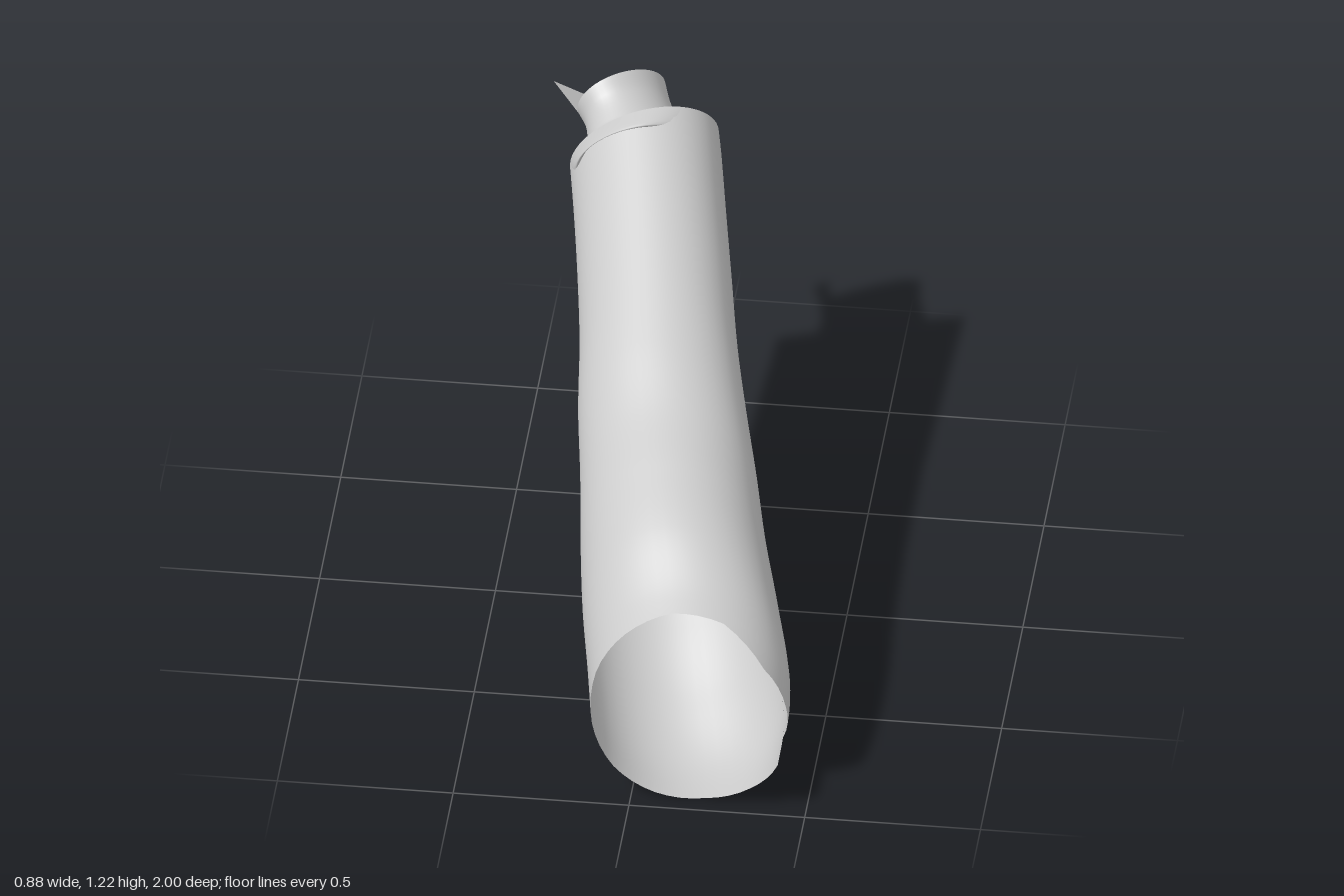
import * as THREE from 'three';
import { ParametricGeometry } from 'three/addons/geometries/ParametricGeometry.js';

const V = (x, y, z) => new THREE.Vector3(x, y, z);

// smooth lookup in an evenly spaced table
function table(values) {
  const curve = new THREE.SplineCurve(values.map((v, i) => new THREE.Vector2(i, v)));
  return t => curve.getPoint(THREE.MathUtils.clamp(t, 0, 1)).y;
}

// outline of the sleeve, one value every 0.2 from z = -1 to z = 1
const left = table([-0.43, -0.39, -0.35, -0.315, -0.285, -0.265, -0.235, -0.21, -0.18, -0.14, -0.11]);
const right = table([0, 0.045, 0.085, 0.125, 0.165, 0.215, 0.27, 0.32, 0.38, 0.435, 0.44]);
const top = table([1.32, 1.24, 1.155, 1.07, 0.985, 0.9, 0.815, 0.755, 0.69, 0.59, 0.53]);
const bottom = table([0.85, 0.77, 0.675, 0.59, 0.505, 0.41, 0.31, 0.2, 0.09, 0.01, 0]);

// ragged front edge, z every 30 degrees starting at the notch
const edge = [0.88, 0.92, 0.925, 0.86, 0.85, 0.87, 0.89, 0.93, 0.95, 0.95, 0.945, 0.965, 1];
const START = THREE.MathUtils.degToRad(-20);

function frontEdge(u) {
  const k = Math.min(Math.max(u, 0) * 12, 11.9999), i = Math.floor(k);
  return THREE.MathUtils.lerp(edge[i], edge[i + 1], k - i);
}

function sleevePoint(u, v, target) {
  const a = START + u * Math.PI * 2, c = Math.cos(a), s = Math.sin(a);
  const back = -0.79 + 0.085 * s - 0.06 * c;
  const front = 0.9 + (frontEdge(u) - 0.9) * v ** 6;
  const z = THREE.MathUtils.lerp(back, front, v), t = (z + 1) / 2;
  const l = left(t), r = right(t), h = top(t), b = bottom(t);
  return target.set((l + r) / 2 + (r - l) / 2 * c, (h + b) / 2 + (h - b) / 2 * s, z);
}

// neck rings from the outer lip to the base: centre and two half axes
const centres = new THREE.CatmullRomCurve3([V(-0.25, 1.1, -0.9), V(-0.225, 1.075, -0.85), V(-0.2, 1.05, -0.785), V(-0.175, 1.03, -0.72)]);
const across = new THREE.CatmullRomCurve3([V(0.115, 0, -0.08), V(0.113, 0, -0.066), V(0.125, 0, -0.057), V(0.155, 0, -0.05)]);
const upward = new THREE.CatmullRomCurve3([V(0, 0.125, 0.065), V(0, 0.117, 0.06), V(0, 0.12, 0.06), V(0, 0.14, 0.06)]);

function neckPoint(u, v, target) {
  const a = START + u * Math.PI * 2, t = THREE.MathUtils.clamp(v, 0, 1);
  return target.copy(centres.getPoint(t))
    .addScaledVector(across.getPoint(t), Math.cos(a))
    .addScaledVector(upward.getPoint(t), Math.sin(a));
}

// recessed ring joining the neck base to the sleeve end
const outer = V(0, 0, 0);
function foldPoint(u, v, target) {
  neckPoint(u, 1, target);
  sleevePoint(u, 0, outer);
  target.lerp(outer, v);
  target.z += 0.04 * Math.sin(Math.PI * v);
  return target;
}

export function createModel() {
  const group = new THREE.Group();
  const material = new THREE.MeshStandardMaterial({ color: 0xcccccc, side: THREE.DoubleSide });
  const add = (name, geometry) => {
    const mesh = new THREE.Mesh(geometry, material);
    mesh.name = name;
    group.add(mesh);
  };

  add('sleeve', new ParametricGeometry(sleevePoint, 48, 60));
  add('neck', new ParametricGeometry(neckPoint, 48, 12));
  add('endFold', new ParametricGeometry(foldPoint, 48, 8));

  // torn flap standing off the neck lip
  const lip = degrees => neckPoint((THREE.MathUtils.degToRad(degrees) - START) / (Math.PI * 2), 0, V(0, 0, 0));
  const A = V(-0.44, 1.15, -0.88), B = V(-0.31, 1, -1);
  const p = lip(145), q = lip(190), r = lip(235);
  const flap = new THREE.BufferGeometry().setFromPoints([p, q, A, q, B, A, q, r, B]);
  flap.computeVertexNormals();
  add('tornFlap', flap);

  return group;
}
